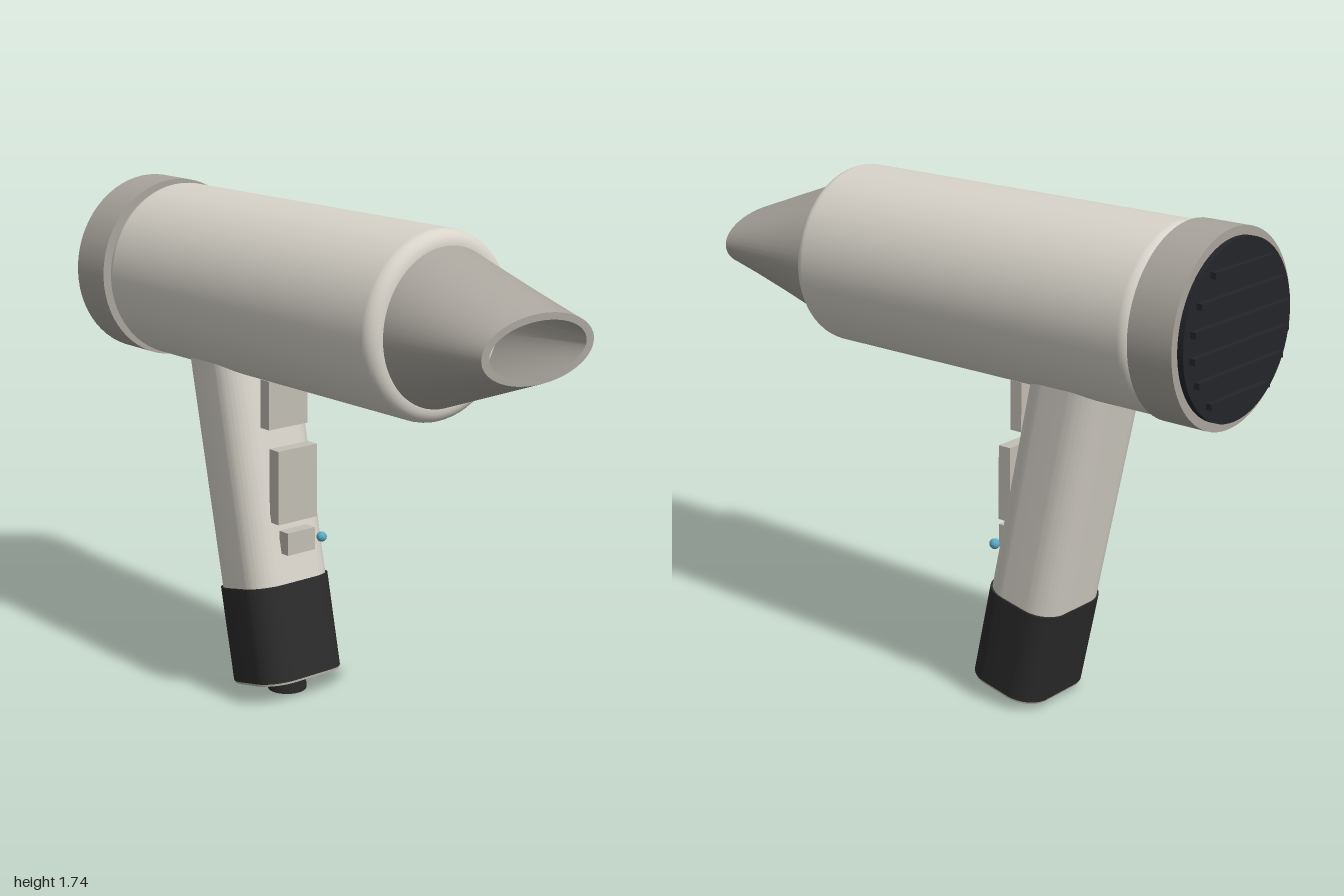
import * as THREE from 'three';
import { toCreasedNormals } from 'three/addons/utils/BufferGeometryUtils.js';

const AXIS_Y = 1.42;
const paint = (color) => new THREE.MeshStandardMaterial({ color });

function add(parent, name, geometry, material, x = 0, y = 0, z = 0) {
  const mesh = new THREE.Mesh(geometry, material);
  mesh.name = name;
  mesh.position.set(x, y, z);
  parent.add(mesh);
  return mesh;
}

// Upright prism with a rounded rectangular section, standing on y = 0
function roundedPrism(w, d, r, height) {
  const s = new THREE.Shape();
  const a = w / 2, b = d / 2;
  s.moveTo(a, -b + r);
  s.lineTo(a, b - r);
  s.absarc(a - r, b - r, r, 0, Math.PI / 2);
  s.absarc(-a + r, b - r, r, Math.PI / 2, Math.PI);
  s.absarc(-a + r, -b + r, r, Math.PI, Math.PI * 1.5);
  s.absarc(a - r, -b + r, r, Math.PI * 1.5, Math.PI * 2);
  const g = new THREE.ExtrudeGeometry(s, { depth: height, bevelEnabled: false, curveSegments: 10 });
  g.rotateX(-Math.PI / 2);
  return toCreasedNormals(g, 0.5);
}

// Skin through elliptical sections [x, half height, half depth]
function loft(sections, n = 64) {
  const pos = [], index = [];
  for (const [x, h, d] of sections) {
    for (let j = 0; j < n; j++) {
      const t = (j / n) * Math.PI * 2;
      pos.push(x, h * Math.cos(t), d * Math.sin(t));
    }
  }
  for (let i = 0; i < sections.length - 1; i++) {
    for (let j = 0; j < n; j++) {
      const a = i * n + j, c = i * n + (j + 1) % n;
      index.push(a, c, a + n, c, c + n, a + n);
    }
  }
  const g = new THREE.BufferGeometry();
  g.setAttribute('position', new THREE.Float32BufferAttribute(pos, 3));
  g.setIndex(index);
  return toCreasedNormals(g, 0.6);
}

// Cylinder lying along x
function xCylinder(r, x0, x1) {
  return new THREE.CylinderGeometry(r, r, x1 - x0, 64).rotateZ(-Math.PI / 2).translate((x0 + x1) / 2, 0, 0);
}

// Barrel with filleted ends, lying along x
function barrelGeometry(r, x0, x1, f) {
  const pts = [new THREE.Vector2(0, x0), new THREE.Vector2(r - f - 0.005, x0)];
  for (let i = 0; i <= 6; i++) {
    const t = (i / 6) * Math.PI / 2;
    pts.push(new THREE.Vector2(r - f + f * Math.sin(t), x0 + f - f * Math.cos(t)));
  }
  for (let i = 0; i <= 6; i++) {
    const t = (i / 6) * Math.PI / 2;
    pts.push(new THREE.Vector2(r - f + f * Math.cos(t), x1 - f + f * Math.sin(t)));
  }
  pts.push(new THREE.Vector2(r - f - 0.005, x1), new THREE.Vector2(0, x1));
  return new THREE.LatheGeometry(pts, 64).rotateZ(-Math.PI / 2);
}

export function createModel() {
  const model = new THREE.Group();
  model.name = 'hairDryer';
  const shell = paint(0xd8d4ca);
  const trim = paint(0xa9a59d);
  const button = paint(0xc2beb4);
  const black = paint(0x2b2b2c);
  const grilleBlack = paint(0x232529);

  // Barrel, rear ring and nozzle share one axis
  add(model, 'barrel', barrelGeometry(0.305, -0.8, 0.6, 0.045), shell, 0, AXIS_Y);
  add(model, 'rearRing', xCylinder(0.315, -0.96, -0.8), trim, 0, AXIS_Y);
  const nozzle = loft([
    [0.595, 0.257, 0.257], [1, 0.107, 0.236], [1, 0.085, 0.204], [0.595, 0.232, 0.232],
  ]);
  add(model, 'nozzle', nozzle, trim, 0, AXIS_Y);

  // Intake grille: disc with horizontal slats cut to its outline
  const grille = new THREE.Group();
  grille.name = 'intakeGrille';
  grille.position.y = AXIS_Y;
  model.add(grille);
  add(grille, 'grilleDisc', xCylinder(0.286, -0.98, -0.95), grilleBlack);
  for (let i = 0; i < 6; i++) {
    const y = (i - 2.5) * 0.08;
    const length = 2 * Math.sqrt(0.255 ** 2 - y * y);
    add(grille, 'grilleSlat', new THREE.BoxGeometry(0.025, 0.02, length), grilleBlack, -0.9875, y);
  }

  // Leaning handle with dark grip and base plate
  const handle = new THREE.Group();
  handle.name = 'handle';
  handle.position.set(-0.18, 0.05, 0);
  handle.rotation.z = THREE.MathUtils.degToRad(12);
  model.add(handle);
  add(handle, 'handleShaft', roundedPrism(0.284, 0.335, 0.095, 0.88), shell, 0, 0.3);
  add(handle, 'grip', roundedPrism(0.292, 0.348, 0.095, 0.335), black, 0, 0.008);
  add(handle, 'basePlate', roundedPrism(0.286, 0.342, 0.093, 0.01), trim, 0, 0);

  // Cord outlet under the grip
  add(model, 'cordOutlet', new THREE.CylinderGeometry(0.068, 0.068, 0.08, 32), black, -0.182, 0.04);

  // Buttons on the front of the handle: [x, y, width, height, depth]
  const buttons = [
    ['upperButton', -0.191, 1.04, 0.046, 0.17, 0.17],
    ['mainSwitch', -0.143, 0.76, 0.048, 0.26, 0.17],
    ['lowerButton', -0.123, 0.56, 0.046, 0.08, 0.12],
  ];
  for (const [name, x, y, w, h, d] of buttons) {
    add(model, name, new THREE.BoxGeometry(w, h, d), button, x, y);
  }

  // Indicator light beside the lower button
  add(model, 'indicatorLight', new THREE.SphereGeometry(0.018, 20, 14), paint(0x5aa9c4), -0.123, 0.55, -0.11);

  return model;
}
